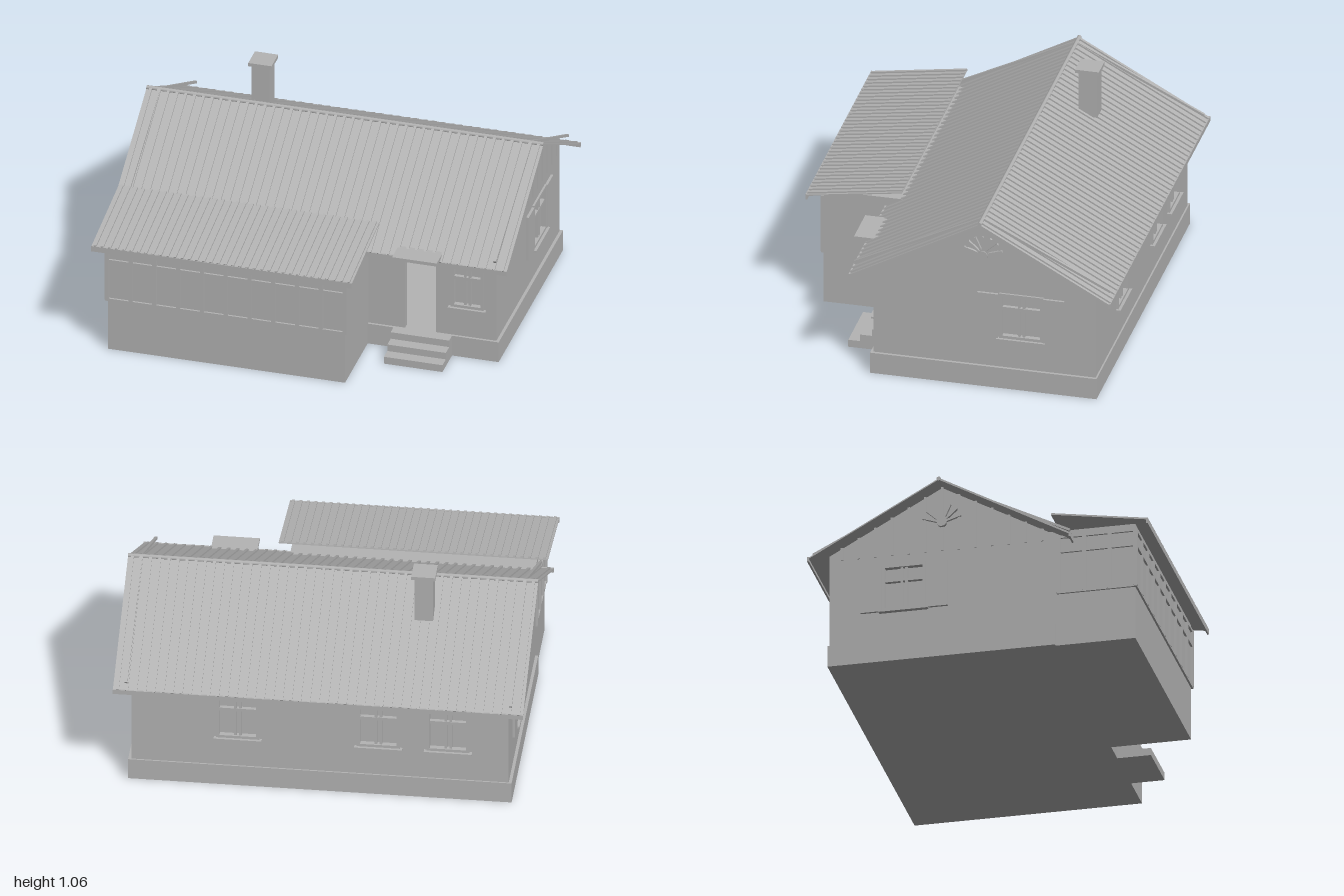
import * as THREE from 'three';

export function createModel() {
  const house = new THREE.Group();
  house.name = 'house';
  const grey = new THREE.MeshStandardMaterial({ color: 0xb4b4b4 });
  grey.name = 'plain grey';

  const RIDGE_Z = -0.19, RIDGE_Y = 0.917;
  const roofY = z => RIDGE_Y - Math.abs(z - RIDGE_Z) * 0.55;

  const add = (parent, name, geometry) => {
    const m = new THREE.Mesh(geometry, grey);
    m.name = name;
    parent.add(m);
    return m;
  };
  // Box given by its minimum and maximum on each axis
  const box = (parent, name, x0, x1, y0, y1, z0, z1) => {
    const m = add(parent, name, new THREE.BoxGeometry(x1 - x0, y1 - y0, z1 - z0));
    m.position.set((x0 + x1) / 2, (y0 + y1) / 2, (z0 + z1) / 2);
    return m;
  };
  // Group whose local z = 0 plane is the outer surface of a wall
  const face = (name, x, z, turn) => {
    const g = new THREE.Group();
    g.name = name;
    g.position.set(x, 0, z);
    g.rotation.y = turn;
    house.add(g);
    return g;
  };
  const wall = (parent, outline, holes) => {
    const shape = new THREE.Shape(outline.map(p => new THREE.Vector2(...p)));
    for (const [x0, x1, y0, y1] of holes) {
      shape.holes.push(new THREE.Path([[x0, y0], [x0, y1], [x1, y1], [x1, y0]]
        .map(p => new THREE.Vector2(...p))));
    }
    const g = new THREE.ExtrudeGeometry(shape, { depth: 0.03, bevelEnabled: false });
    add(parent, 'wall', g.translate(0, 0, -0.03));
  };

  // Window with transom, mullion, recessed panes and sill
  const Y0 = 0.27, Y1 = 0.515;
  const hole = (c, w) => [c - w / 2 + 0.01, c + w / 2 - 0.01, Y0 + 0.01, Y1 - 0.01];
  const windowUnit = (parent, c, w) => {
    const g = new THREE.Group();
    g.name = 'window';
    g.position.x = c;
    parent.add(g);
    const h = w / 2;
    for (const s of [-1, 1]) {
      box(g, 'frameSide', s * (h - 0.008) - 0.008, s * (h - 0.008) + 0.008, Y0, Y1, -0.02, 0.01);
      box(g, 'sash', s * 0.012 - 0.006, s * 0.012 + 0.006, Y0, Y1, -0.02, 0.002);
    }
    box(g, 'frameTop', -h, h, Y1 - 0.016, Y1, -0.02, 0.01);
    box(g, 'frameBottom', -h, h, Y0, Y0 + 0.016, -0.02, 0.01);
    box(g, 'transom', -h, h, 0.425, 0.441, -0.02, 0.004);
    box(g, 'panes', -h + 0.01, h - 0.01, Y0 + 0.01, Y1 - 0.01, -0.022, -0.016);
    box(g, 'sill', -h - 0.012, h + 0.012, Y0 - 0.008, Y0 + 0.002, -0.01, 0.024);
  };

  // Plinth and floor
  box(house, 'plinth', -0.935, 0.935, 0, 0.11, -0.758, 0.373);

  // Front wall with open doorway
  const front = face('frontWall', 0, 0.36, 0);
  const long = [[-0.92, 0.1], [0.92, 0.1], [0.92, 0.595], [-0.92, 0.595]];
  wall(front, long, [[0.46, 0.615, 0.11, 0.51], hole(0.775, 0.165)]);
  windowUnit(front, 0.775, 0.165);

  // Back wall
  const back = face('backWall', 0, -0.75, Math.PI);
  const backWindows = [-0.4, 0.285, 0.625];
  wall(back, long, backWindows.map(c => hole(c, 0.21)));
  backWindows.forEach(c => windowUnit(back, c, 0.21));

  // Gable walls with shuttered window, battens and fan ornament
  for (const s of [1, -1]) {
    const g = face(s > 0 ? 'leftGable' : 'rightGable', s * 0.92, 0, s * Math.PI / 2);
    const u = z => -s * z;
    const outline = [[u(0.36), 0.1], [u(-0.75), 0.1], [u(-0.75), roofY(-0.75) - 0.015],
      [u(RIDGE_Z), RIDGE_Y - 0.015], [u(0.36), roofY(0.36) - 0.015]];
    wall(g, outline, [hole(u(-0.38), 0.22)]);
    windowUnit(g, u(-0.38), 0.22);
    for (const z of [-0.213, -0.543]) {
      box(g, 'shutter', u(z) - 0.052, u(z) + 0.052, 0.27, 0.51, -0.005, 0.013);
    }
    for (let i = -6; i <= 6; i++) {
      const z = RIDGE_Z + i * 0.083;
      box(g, 'batten', u(z) - 0.006, u(z) + 0.006, 0.565, roofY(z) - 0.012, -0.002, 0.006);
    }
    const fan = new THREE.Group();
    fan.name = 'fanOrnament';
    fan.position.set(u(RIDGE_Z), 0.715, 0.006);
    g.add(fan);
    add(fan, 'hub', new THREE.CylinderGeometry(0.024, 0.024, 0.024, 16)).rotation.x = Math.PI / 2;
    for (let i = 0; i < 7; i++) {
      const a = THREE.MathUtils.degToRad(-72 + i * 24);
      const ray = add(fan, 'ray', new THREE.BoxGeometry(0.011, 0.08, 0.014).translate(0, 0.06, 0));
      ray.rotation.z = a;
    }
  }

  // Ribbed roof sheet running down from a top edge along local +z
  const ribbedSheet = (parent, name, x0, x1, length, slope, ribs) => {
    const g = new THREE.Group();
    g.name = name;
    g.rotation.x = slope;
    parent.add(g);
    box(g, 'sheet', x0, x1, -0.006, 0, 0, length);
    const step = (x1 - x0) / ribs;
    for (let i = 0; i < ribs; i++) {
      const c = x0 + (i + 0.5) * step;
      box(g, 'rib', c - 0.007, c + 0.007, -0.001, 0.008, 0, length);
    }
    return g;
  };

  // Main roof: two slopes, eave boards and raised verge strips
  for (const turn of [0, Math.PI]) {
    const side = new THREE.Group();
    side.name = turn ? 'backRoof' : 'frontRoof';
    side.position.set(0, RIDGE_Y, RIDGE_Z);
    side.rotation.y = turn;
    house.add(side);
    ribbedSheet(side, 'slope', -1, 1, Math.hypot(0.65, 0.357), Math.atan2(0.357, 0.65), 45);
    box(side, 'eaveBoard', -1, 1, -0.376, -0.352, 0.645, 0.654);
    for (const s of [-1, 1]) {
      const strip = add(side, 'vergeStrip',
        new THREE.BoxGeometry(0.014, 0.012, 0.715).translate(0, 0, 0.357));
      strip.position.set(s * 0.937, 0.004, 0);
      strip.rotation.x = Math.atan2(0.32, 0.64);
    }
  }
  const cap = add(house, 'ridgeCap', new THREE.CylinderGeometry(0.011, 0.011, 2, 8));
  cap.rotation.z = Math.PI / 2;
  cap.position.set(0, RIDGE_Y, RIDGE_Z);

  // Chimney
  box(house, 'chimney', -0.513, -0.422, 0.8, 1.042, -0.422, -0.33);
  box(house, 'chimneyCap', -0.525, -0.408, 1.04, 1.058, -0.434, -0.316);

  // Veranda with bands of windows on the front and one side
  box(house, 'veranda', -0.92, 0.275, 0, 0.61, 0.34, 0.77);
  const windowBand = (parent, u0, u1, bays) => {
    const step = (u1 - u0) / bays;
    for (let i = 0; i <= bays; i++) {
      const c = u0 + i * step;
      box(parent, 'mullion', c - 0.01, c + 0.01, 0.28, 0.58, -0.005, 0.012);
    }
    for (const y of [0.28, 0.497, 0.575]) {
      box(parent, 'rail', u0 - 0.01, u1 + 0.01, y - 0.007, y + 0.007, -0.005, 0.01);
    }
  };
  windowBand(face('verandaFrontWindows', 0, 0.77, 0), -0.923, 0.275, 10);
  windowBand(face('verandaSideWindows', -0.92, 0, -Math.PI / 2), 0.39, 0.77, 3);
  const lean = ribbedSheet(house, 'verandaRoof', -0.983, 0.33,
    Math.hypot(0.478, 0.075), Math.atan2(0.075, 0.478), 36);
  lean.position.set(0, 0.678, 0.365);
  box(house, 'verandaEaveBoard', -0.983, 0.33, 0.577, 0.606, 0.838, 0.846);

  // Door canopy and steps
  box(house, 'canopy', 0.44, 0.665, 0.573, 0.59, 0.36, 0.52);
  for (let i = 0; i < 3; i++) {
    box(house, 'step', 0.405, 0.7, 0, 0.11 - i * 0.036, 0.36, 0.422 + i * 0.059);
  }
  return house;
}
